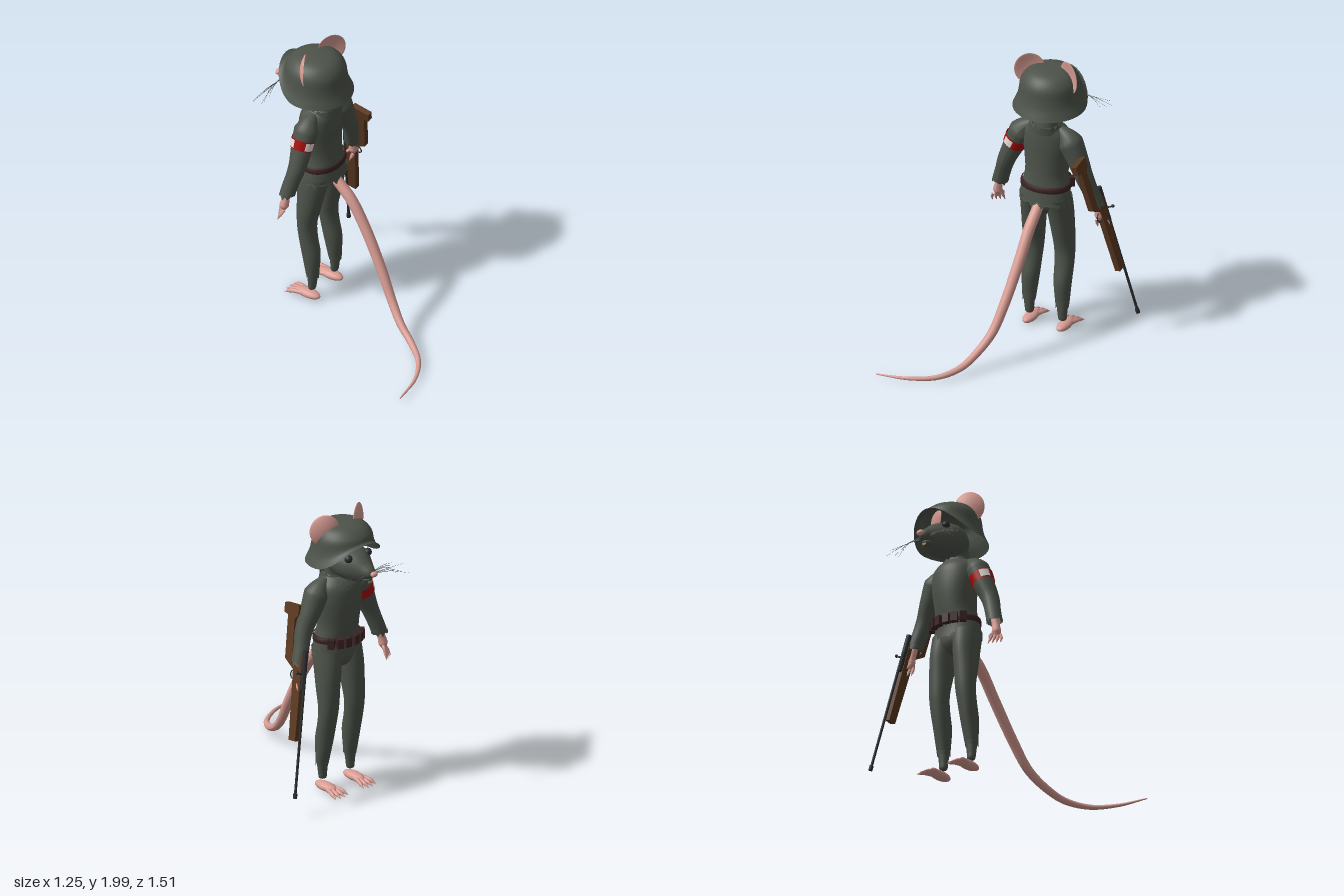
import * as THREE from 'three';
import { mergeVertices } from 'three/addons/utils/BufferGeometryUtils.js';

const CX = 0.045; // centre line of the body
const mat = (name, color, side = THREE.FrontSide) => {
  const m = new THREE.MeshStandardMaterial({ color, side });
  m.name = name;
  return m;
};
const V = (x, y, z) => new THREE.Vector3(x, y, z);

// Smooth closed rings stacked along y. Row: [y, centre x, centre z, radius x, radius z]
function loft(rows, seg = 28, steps = 4) {
  const c = new THREE.CatmullRomCurve3(rows.map(r => V(r[1], r[0], r[2])));
  const s = new THREE.CatmullRomCurve3(rows.map(r => V(r[3], r[0], r[4])));
  const n = (rows.length - 1) * steps, pos = [], idx = [];
  for (let i = 0; i <= n; i++) {
    const p = c.getPoint(i / n), q = s.getPoint(i / n);
    for (let j = 0; j < seg; j++) {
      const a = j / seg * Math.PI * 2;
      pos.push(p.x + Math.cos(a) * q.x, p.y, p.z + Math.sin(a) * q.z);
      if (i < n) {
        const k = (j + 1) % seg, A = i * seg + j, B = i * seg + k;
        idx.push(A, A + seg, B, B, A + seg, B + seg);
      }
    }
  }
  const g = new THREE.BufferGeometry();
  g.setAttribute('position', new THREE.Float32BufferAttribute(pos, 3));
  g.setIndex(idx);
  g.computeVertexNormals();
  return g;
}

// Tube through points whose radius follows the given list
function limb(points, radii, seg = 16, steps = 6) {
  const curve = new THREE.CatmullRomCurve3(points.map(p => V(...p)));
  const n = (points.length - 1) * steps;
  const g = new THREE.TubeGeometry(curve, n, 1, seg, false);
  const p = g.attributes.position, v = V(0, 0, 0);
  for (let i = 0; i <= n; i++) {
    const c = curve.getPointAt(i / n), f = i / n * (radii.length - 1);
    const k = Math.min(Math.floor(f), radii.length - 2);
    const r = THREE.MathUtils.lerp(radii[k], radii[k + 1], f - k);
    for (let j = 0; j <= seg; j++) {
      const a = i * (seg + 1) + j;
      v.fromBufferAttribute(p, a).sub(c).multiplyScalar(r).add(c);
      p.setXYZ(a, v.x, v.y, v.z);
    }
  }
  g.computeVertexNormals();
  return g;
}

// Make one ring edge of a loft ragged
function ragged(g, seg, top, depth) {
  const p = g.attributes.position, start = top ? p.count - seg : 0;
  for (let j = 0; j < seg; j++) p.setY(start + j, p.getY(start + j) + depth * (j % 2 + 0.6 * Math.sin(j * 2.3)));
  g.computeVertexNormals();
  return g;
}

export function createModel() {
  const model = new THREE.Group();
  const cloth = mat('greyGreen', 0x4d534a, THREE.DoubleSide);
  const pink = mat('pinkSkin', 0xd89c93);
  const wood = mat('woodBrown', 0x5a3820);
  const leather = mat('darkLeather', 0x3a2324);
  const metal = mat('gunmetal', 0x2b2d2f);
  const red = mat('red', 0xa80c0c, THREE.DoubleSide);
  const white = mat('white', 0xe4e0dc, THREE.DoubleSide);
  const whisker = mat('whiskerGrey', 0x55585a);
  const tooth = mat('toothYellow', 0xc98f3c);
  const add = (name, geo, m, parent = model) => {
    const mesh = new THREE.Mesh(geo, m);
    mesh.name = name;
    parent.add(mesh);
    return mesh;
  };
  const ball = (name, m, [x, y, z], [rx, ry, rz]) => {
    const b = add(name, new THREE.SphereGeometry(1, 24, 16), m);
    b.position.set(x, y, z);
    b.scale.set(rx, ry, rz);
    return b;
  };

  // Jacket, collar and neck
  add('jacket', ragged(loft([
    [0.97, CX, -0.365, 0.182, 0.132], [1.08, CX, -0.37, 0.167, 0.123], [1.18, CX, -0.385, 0.147, 0.125],
    [1.3, CX, -0.395, 0.158, 0.13], [1.4, CX, -0.395, 0.168, 0.13], [1.48, CX, -0.39, 0.155, 0.122],
    [1.53, CX, -0.375, 0.115, 0.1], [1.55, CX, -0.365, 0.09, 0.085]], 36), 36, false, 0.025), cloth);
  add('collar', ragged(loft([[1.5, CX, -0.365, 0.115, 0.105], [1.545, CX, -0.36, 0.105, 0.1]], 32, 2), 32, true, 0.018), cloth);
  add('neck', loft([[1.48, CX, -0.365, 0.09, 0.08], [1.57, CX, -0.37, 0.085, 0.075], [1.7, CX, -0.42, 0.1, 0.08]]), cloth);

  // Belt and pouches
  add('belt', loft([[1.075, CX, -0.37, 0.165, 0.12], [1.08, CX, -0.37, 0.175, 0.131],
    [1.115, CX, -0.372, 0.172, 0.131], [1.12, CX, -0.372, 0.16, 0.12]], 36, 2), leather);
  for (const a of [-0.85, -0.5, -0.18, 0.18, 0.5, 0.85]) {
    const p = add('pouch', new THREE.BoxGeometry(0.045, 0.065, 0.04), leather);
    p.position.set(CX + Math.sin(a) * 0.18, 1.09, -0.37 - Math.cos(a) * 0.148);
    p.rotation.y = -a;
  }

  // Trousers, feet and toes
  add('trouserSeat', loft([[0.87, CX, -0.385, 0.01, 0.01], [0.89, CX, -0.385, 0.08, 0.06],
    [0.95, CX, -0.375, 0.155, 0.108], [1.06, CX, -0.37, 0.16, 0.115]]), cloth);
  for (const s of [-1, 1]) {
    const x = d => CX + s * d;
    add('trouserLeg', loft([
      [0.22, x(0.122), -0.37, 0.048, 0.042], [0.38, x(0.118), -0.384, 0.06, 0.064], [0.5, x(0.117), -0.408, 0.066, 0.062],
      [0.6, x(0.114), -0.42, 0.071, 0.064], [0.75, x(0.108), -0.408, 0.079, 0.083],
      [0.9, x(0.098), -0.392, 0.085, 0.102], [1.02, x(0.088), -0.37, 0.09, 0.11]]), cloth);
    add('trouserCuff', ragged(loft([[0.185, x(0.122), -0.367, 0.044, 0.04], [0.25, x(0.122), -0.37, 0.05, 0.044]], 20, 2), 20, false, 0.02), cloth);
    add('ankle', loft([[0.085, x(0.122), -0.372, 0.002, 0.002], [0.095, x(0.122), -0.372, 0.026, 0.022],
      [0.14, x(0.122), -0.37, 0.033, 0.028], [0.23, x(0.122), -0.37, 0.042, 0.036]], 18), cloth);
    ball('foot', pink, [x(0.125), 0.043, -0.405], [0.043, 0.03, 0.096]);
    for (let i = 0; i < 4; i++) {
      const o = (i - 1.5) * 0.022, reach = 0.565 - Math.abs(i - 1.5) * 0.012 + s * 0.004;
      add('toe', limb([[x(0.125) + o * 0.8, 0.045, -0.44], [x(0.125) + o * 1.3, 0.036, -0.51], [x(0.125) + o * 1.7, 0.014, -reach - 0.015]],
        [0.016, 0.014, 0.013, 0.001], 8), pink);
    }
  }

  // Arms with cuffs and hands
  for (const s of [-1, 1]) {
    const x = d => CX + s * d;
    add('sleeve', limb([[x(0.1), 1.52, -0.375], [x(0.165), 1.46, -0.375], [x(0.225), 1.34, -0.375],
      [x(0.288), 1.2, -0.37], [x(0.33), 1.08, -0.39], [x(0.352), 1.015, -0.4]],
      [0.03, 0.084, 0.073, 0.062, 0.054, 0.052], 20), cloth);
    add('sleeveCuff', ragged(loft([[0.995, x(0.355), -0.402, 0.056, 0.052], [1.04, x(0.343), -0.396, 0.055, 0.053]], 20, 2), 20, false, 0.022), cloth);
    add('wrist', limb([[x(0.35), 1.03, -0.4], [x(0.372), 0.95, -0.407], [x(0.38), 0.89, -0.415], [x(0.385), 0.865, -0.42]],
      [0.025, 0.026, 0.032, 0.004], 12), pink);
    for (let i = 0; i < 4; i++) {
      const o = (i - 1.5) * 0.014;
      add('finger', limb([[x(0.38) + o * 0.8, 0.9, -0.415 - o], [x(0.388) + o * 1.4, 0.865, -0.43 - o], [x(0.39) + o * 1.7, 0.825, -0.45 - o]],
        [0.011, 0.01, 0.002], 8, 4), pink);
    }
    add('thumb', limb([[x(0.365), 0.92, -0.42], [x(0.355), 0.89, -0.45], [x(0.36), 0.865, -0.465]], [0.012, 0.01, 0.002], 8, 4), pink);
  }

  // Plain armband with light patches
  const band = new THREE.Group();
  band.name = 'armband';
  band.position.set(CX - 0.222, 1.355, -0.375);
  band.quaternion.setFromUnitVectors(V(0, 1, 0), V(0.42, 1, 0).normalize());
  model.add(band);
  add('bandCloth', new THREE.CylinderGeometry(0.082, 0.077, 0.07, 28, 1, true), red, band);
  for (const a of [-0.75, -2.6]) add('bandPatch', new THREE.CylinderGeometry(0.085, 0.08, 0.056, 10, 1, true, a, 0.85), white, band);

  // Head, nose, eyes, teeth
  add('head', loft([[0.33, CX, 1.66, 0.01, 0.01], [0.35, CX, 1.66, 0.085, 0.075], [0.42, CX, 1.67, 0.128, 0.11],
    [0.5, CX, 1.665, 0.135, 0.12], [0.57, CX, 1.655, 0.118, 0.11], [0.62, CX, 1.648, 0.09, 0.094],
    [0.67, CX, 1.642, 0.06, 0.06], [0.715, CX, 1.638, 0.033, 0.032], [0.735, CX, 1.638, 0.004, 0.004]]).rotateX(-Math.PI / 2), cloth);
  ball('nose', pink, [CX, 1.642, -0.738], [0.027, 0.019, 0.02]);
  ball('mouth', cloth, [CX, 1.59, -0.655], [0.04, 0.025, 0.05]);
  for (const s of [-1, 1]) {
    ball('eye', metal, [CX + s * 0.085, 1.725, -0.582], [0.027, 0.027, 0.027]);
    add('tooth', new THREE.BoxGeometry(0.012, 0.04, 0.006), tooth).position.set(CX + s * 0.007, 1.588, -0.698);
    // Whiskers fan outwards from the muzzle
    for (let i = 0; i < 6; i++) {
      const t = i / 5 - 0.5;
      add('whisker', limb([[CX + s * 0.035, 1.63 + t * 0.02, -0.69], [CX + s * 0.16, 1.625 + t * 0.03, -0.69 + t * 0.05],
        [CX + s * (0.3 - 0.06 * (i % 2)), 1.59 + (i % 3 - 1) * 0.028, -0.69 + t * 0.1]], [0.002, 0.0016, 0.0006], 4, 4), whisker);
    }
    // Thin, slightly cupped ears
    const eg = new THREE.SphereGeometry(1, 28, 20).scale(0.102, 0.112, 0.011);
    const p = eg.attributes.position;
    for (let i = 0; i < p.count; i++) {
      const d = (p.getX(i) / 0.102) ** 2 + (p.getY(i) / 0.112) ** 2;
      p.setZ(i, p.getZ(i) + 0.022 * d);
    }
    eg.computeVertexNormals();
    const ear = add('ear', eg, pink);
    ear.position.set(CX + s * 0.155, 1.89, -0.435);
    ear.rotation.y = -s * 0.53;
  }

  // Helmet: domed shell whose rim sweeps up at the front
  const profile = new THREE.SplineCurve([[0.247, 1.655], [0.24, 1.67], [0.218, 1.72], [0.206, 1.77], [0.193, 1.845], [0.15, 1.9],
    [0.085, 1.926], [0, 1.932]].map(p => new THREE.Vector2(...p))).getPoints(28);
  profile[28].x = 0;
  let shell = new THREE.LatheGeometry(profile, 48);
  const hp = shell.attributes.position;
  for (let i = 0; i < hp.count; i++) {
    const z = hp.getZ(i), r = Math.hypot(hp.getX(i), z) || 1, y = hp.getY(i);
    const front = Math.max(0, -z / r), w = ((1.932 - y) / 0.277) ** 2;
    hp.setXYZ(i, hp.getX(i) + CX, y + w * (0.17 * front ** 2 - 0.012 * z / r), z - 0.43);
  }
  shell.deleteAttribute('uv');
  shell.deleteAttribute('normal');
  shell = mergeVertices(shell);
  shell.computeVertexNormals();
  add('helmet', shell, cloth);

  // Tail sweeping down and back
  add('tail', limb([[0.045, 1.0, -0.3], [0.045, 0.955, -0.25], [0.043, 0.855, -0.14], [0.035, 0.68, -0.02], [0.005, 0.415, 0.14],
    [-0.03, 0.245, 0.245], [-0.085, 0.135, 0.36], [-0.135, 0.075, 0.48], [-0.235, 0.045, 0.615], [-0.4, 0.04, 0.71], [-0.62, 0.037, 0.752]],
    [0.036, 0.038, 0.037, 0.036, 0.034, 0.031, 0.027, 0.022, 0.016, 0.011, 0.004], 16), pink);

  // Rifle: local y runs from muzzle to butt, local z towards the underside
  const rifle = new THREE.Group();
  rifle.name = 'rifle';
  const ay = V(-0.23, 1, 0.13).normalize();
  const ax = ay.clone().cross(V(0, 0, 1)).normalize();
  rifle.quaternion.setFromRotationMatrix(new THREE.Matrix4().makeBasis(ax, ay, ax.clone().cross(ay)));
  rifle.position.set(0.61, 0.16, -0.59);
  model.add(rifle);
  const rod = (name, r, y0, y1, z = 0) => add(name, new THREE.CylinderGeometry(r, r, y1 - y0, 14), metal, rifle).position.set(0, (y0 + y1) / 2, z);
  rod('barrel', 0.009, 0, 0.85);
  rod('muzzle', 0.014, -0.008, 0.025);
  rod('receiver', 0.018, 0.72, 0.98, 0.012);
  const outline = [[0.37, 0.025], [0.37, 0.085], [0.84, 0.098], [0.9, 0.18], [1.19, 0.185], [1.2, 0.222], [1.265, 0.222],
    [1.265, 0.088], [1.2, 0.088], [1.17, 0.12], [0.95, 0.115], [0.92, 0.02]];
  const stock = new THREE.ExtrudeGeometry(new THREE.Shape(outline.map(([y, z]) => new THREE.Vector2(-z, y))),
    { depth: 0.038, bevelEnabled: false }).translate(0, 0, -0.019).rotateY(Math.PI / 2);
  add('stock', stock, wood, rifle);
  const guard = add('triggerGuard', new THREE.TorusGeometry(0.03, 0.004, 6, 18), metal, rifle);
  guard.position.set(0, 0.8, 0.105);
  guard.rotation.y = Math.PI / 2;
  add('boltHandle', limb([[0, 0.82, 0.01], [0.035, 0.825, 0.01], [0.06, 0.832, 0.01]], [0.006, 0.006, 0.006], 8), metal, rifle);
  add('boltKnob', new THREE.SphereGeometry(0.011, 12, 8), metal, rifle).position.set(0.062, 0.833, 0.01);

  return model;
}
